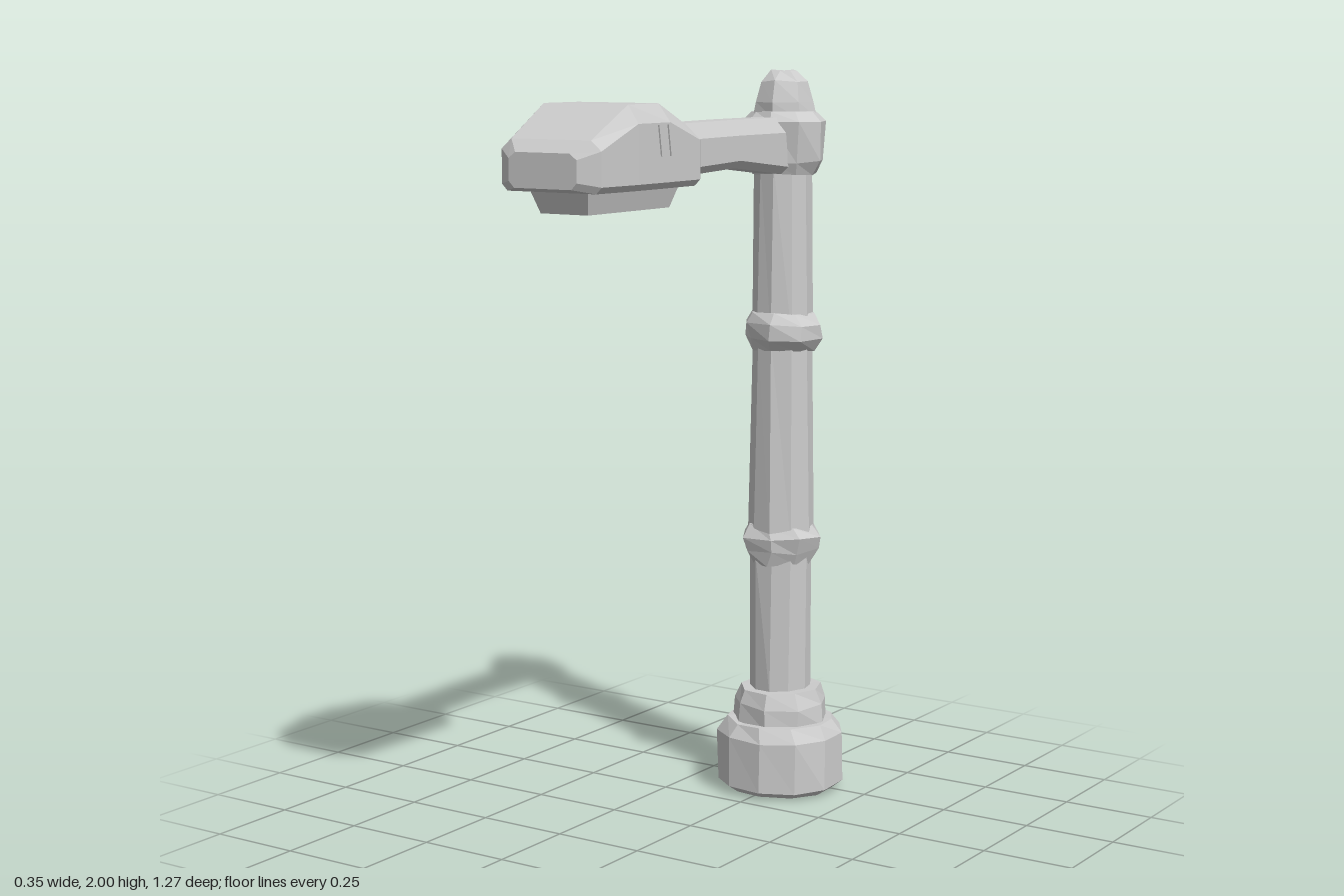
import * as THREE from 'three';

const POLE_Z = -0.457;

export function createModel() {
  const group = new THREE.Group();
  const stone = new THREE.MeshStandardMaterial({ color: 0xcccccc, flatShading: true });
  stone.name = 'pale grey';

  function add(name, geometry, z = 0) {
    const mesh = new THREE.Mesh(geometry, stone);
    mesh.name = name;
    mesh.position.z = z;
    group.add(mesh);
    return mesh;
  }

  // Nudges vertices by a repeatable amount that depends on position, for a hand-cut look
  function roughen(geometry, amount) {
    const p = geometry.attributes.position;
    const v = new THREE.Vector3();
    const noise = (a, b, c, k) => {
      const s = Math.sin(a * 12.99 + b * 78.23 + c * 37.72 + k) * 4375.85;
      return (s - Math.floor(s) - 0.5) * 2 * amount;
    };
    for (let i = 0; i < p.count; i++) {
      v.fromBufferAttribute(p, i);
      if (Math.hypot(v.x, v.z) < 0.001) continue;
      const [a, b, c] = [v.x, v.y, v.z].map((n) => Math.round(n * 100) + 0.5);
      p.setXYZ(i, v.x + noise(a, b, c, 1), v.y + noise(a, b, c, 2) * 0.7, v.z + noise(a, b, c, 3));
    }
    const flat = geometry.toNonIndexed();
    flat.computeVertexNormals();
    return flat;
  }

  // Closed turned part; profile is [radius, height] from bottom to top
  function turned(name, profile, sides, rough) {
    const points = [[0, profile[0][1]], ...profile, [0, profile.at(-1)[1]]];
    const geometry = new THREE.LatheGeometry(points.map(([r, y]) => new THREE.Vector2(r, y)), sides, 0.2);
    return add(name, roughen(geometry, rough), POLE_Z);
  }

  // Chamfered body along z; each section is [z, half width, bottom, top, side chamfer, top chamfer]
  function loft(name, sections, lowChamfer) {
    const rings = sections.map(([z, w, b, t, cx, cy]) => [
      [w - lowChamfer, b, z], [w, b + lowChamfer, z], [w, t - cy, z], [w - cx, t, z],
      [cx - w, t, z], [-w, t - cy, z], [-w, b + lowChamfer, z], [lowChamfer - w, b, z],
    ]);
    const out = [];
    for (let i = 0; i < rings.length - 1; i++) {
      for (let j = 0; j < 8; j++) {
        const k = (j + 1) % 8;
        const [a, b, c, d] = [rings[i][j], rings[i][k], rings[i + 1][k], rings[i + 1][j]];
        out.push(...a, ...b, ...c, ...a, ...c, ...d);
      }
    }
    const first = rings[0], last = rings.at(-1);
    for (let j = 1; j < 7; j++) {
      out.push(...first[0], ...first[j + 1], ...first[j]);
      out.push(...last[0], ...last[j], ...last[j + 1]);
    }
    const geometry = new THREE.BufferGeometry();
    geometry.setAttribute('position', new THREE.Float32BufferAttribute(out, 3));
    geometry.computeVertexNormals();
    return add(name, geometry);
  }

  // Foot and pole
  turned('base', [[0.15, 0.005], [0.176, 0.025], [0.178, 0.165], [0.152, 0.203]], 11, 0.005);
  turned('baseStep', [[0.135, 0.19], [0.132, 0.25], [0.115, 0.292]], 9, 0.005);
  turned('lowerPole', [[0.086, 0.28], [0.088, 0.68]], 10, 0.004);
  turned('middlePole', [[0.094, 0.72], [0.082, 1.28]], 10, 0.004);
  turned('upperPole', [[0.084, 1.28], [0.079, 1.75]], 10, 0.004);
  for (const [name, y] of [['lowerRing', 0.65], ['upperRing', 1.24]]) {
    turned(name, [[0.086, y], [0.106, y + 0.035], [0.11, y + 0.075], [0.09, y + 0.105]], 8, 0.008);
  }

  // Pole head
  turned('collar', [[0.09, 1.722], [0.108, 1.755], [0.114, 1.86], [0.088, 1.89]], 9, 0.005);
  turned('cap', [[0.086, 1.87], [0.083, 1.915], [0.065, 1.97], [0.035, 1.998]], 7, 0.004);

  // Arm
  loft('arm', [
    [-0.42, 0.06, 1.72, 1.875, 0.025, 0.04],
    [-0.33, 0.06, 1.73, 1.875, 0.025, 0.04],
    [-0.15, 0.058, 1.75, 1.875, 0.025, 0.04],
    [0.16, 0.06, 1.738, 1.872, 0.025, 0.04],
  ], 0.02);

  // Lamp housing
  loft('lampHousing', [
    [0.127, 0.1, 1.765, 1.825, 0.02, 0.015],
    [0.15, 0.13, 1.727, 1.857, 0.035, 0.025],
    [0.185, 0.152, 1.725, 1.873, 0.04, 0.035],
    [0.32, 0.155, 1.725, 1.93, 0.035, 0.045],
    [0.455, 0.155, 1.725, 1.93, 0.03, 0.045],
    [0.595, 0.147, 1.725, 1.85, 0.03, 0.025],
    [0.63, 0.1, 1.735, 1.82, 0.02, 0.015],
  ], 0.016);

  // Lens, narrowing downwards
  const lens = new THREE.BoxGeometry(0.18, 0.07, 0.395).toNonIndexed();
  const p = lens.attributes.position;
  for (let i = 0; i < p.count; i++) {
    if (p.getY(i) < 0) p.setXYZ(i, p.getX(i) * 0.78, p.getY(i), p.getZ(i) * 0.87);
  }
  lens.computeVertexNormals();
  add('lens', lens, 0.3725).position.y = 1.705;

  // Slanted vent notches on both sides of the housing
  for (const side of [-1, 1]) {
    for (const z of [0.315, 0.355]) {
      const sliver = new THREE.Shape([
        new THREE.Vector2(-0.022, -0.038), new THREE.Vector2(0.006, -0.038), new THREE.Vector2(0.018, 0.038),
      ]);
      const vent = add('vent', new THREE.ExtrudeGeometry(sliver, { depth: 0.008, bevelEnabled: false }), z);
      vent.rotation.y = -Math.PI / 2;
      vent.position.x = side < 0 ? -0.151 : 0.159;
      vent.position.y = 1.842;
    }
  }

  return group;
}
